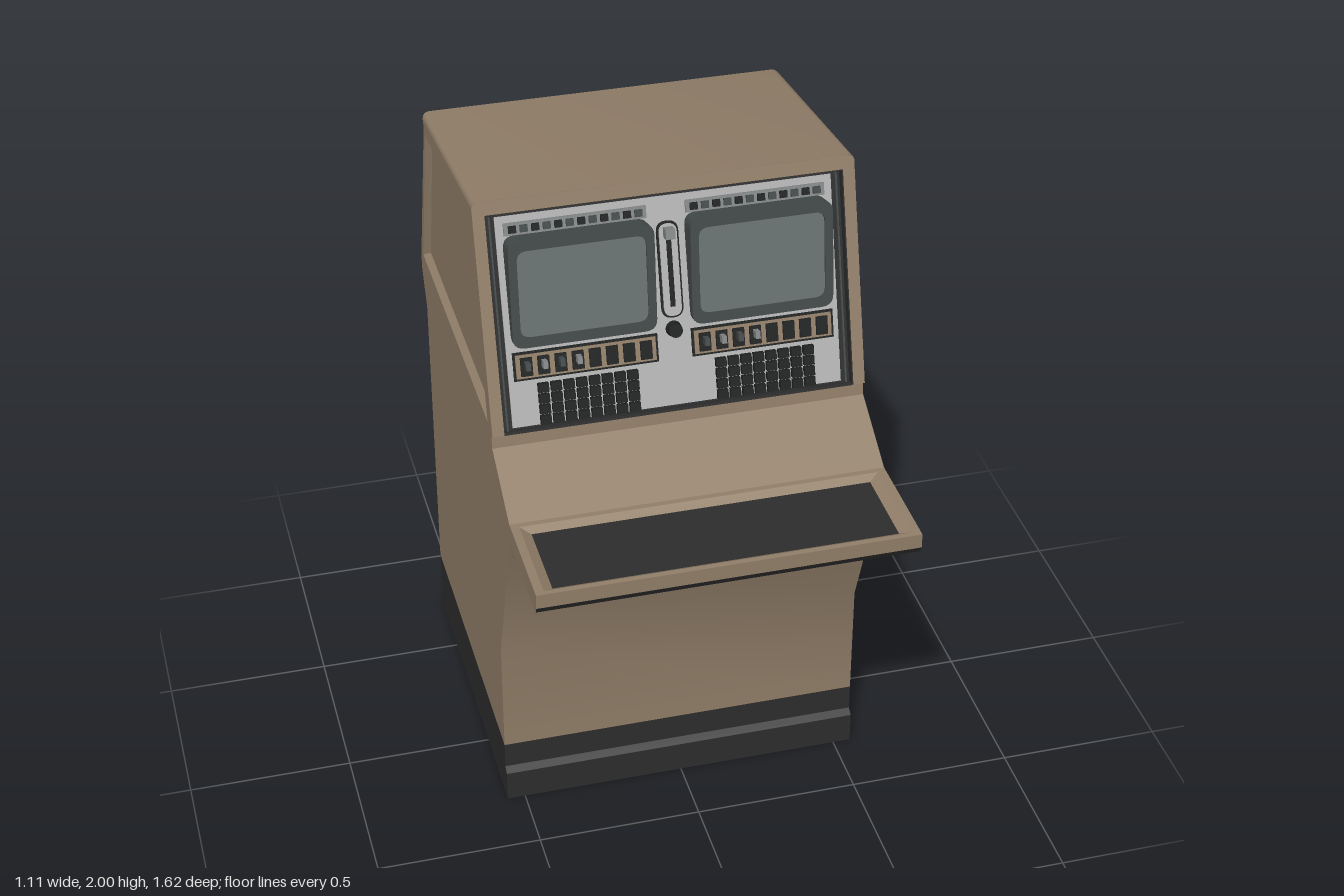
import * as THREE from 'three';
import { toCreasedNormals } from 'three/addons/utils/BufferGeometryUtils.js';

const mat = (name, color) => {
  const m = new THREE.MeshStandardMaterial({ color, side: THREE.DoubleSide });
  m.name = name;
  return m;
};

// Surface through rows of [x, y, z] points
function loft(rows, crease = 0.6) {
  const n = rows[0].length, idx = [];
  for (let i = 0; i < rows.length - 1; i++)
    for (let j = 0; j < n - 1; j++) {
      const a = i * n + j, b = a + n;
      idx.push(a, a + 1, b, b, a + 1, b + 1);
    }
  const g = new THREE.BufferGeometry();
  g.setAttribute('position', new THREE.Float32BufferAttribute(rows.flat(2), 3));
  g.setIndex(idx);
  return toCreasedNormals(g, crease);
}

const polygon = (pts, hole) => {
  const s = new THREE.Shape(pts.map(p => new THREE.Vector2(...p)));
  if (hole) s.holes.push(new THREE.Path(hole.map(p => new THREE.Vector2(...p))));
  return s;
};

const rect = (w, z0, z1) => [[-w, z0], [w, z0], [w, z1], [-w, z1]];

function roundRect(w, h, r, s = new THREE.Shape()) {
  const x = w / 2, y = h / 2;
  s.moveTo(-x + r, -y);
  s.lineTo(x - r, -y).quadraticCurveTo(x, -y, x, -y + r);
  s.lineTo(x, y - r).quadraticCurveTo(x, y, x - r, y);
  s.lineTo(-x + r, y).quadraticCurveTo(-x, y, -x, y - r);
  s.lineTo(-x, -y + r).quadraticCurveTo(-x, -y, -x + r, -y);
  return s;
}

export function createModel() {
  const tan = mat('tan paint', 0x927f69), black = mat('black trim', 0x2d2d2d),
    silver = mat('silver panel', 0xb4b4b4), bezel = mat('bezel grey', 0x454c4b),
    glass = mat('screen glass', 0x6a7472), key = mat('key black', 0x202222),
    steel = mat('mid grey', 0x858888);
  const model = new THREE.Group();
  const W = 0.555;
  const add = (parent, name, geo, material, x = 0, y = 0, z = 0) => {
    const m = new THREE.Mesh(geo, material);
    m.name = name;
    m.position.set(x, y, z);
    parent.add(m);
    return m;
  };

  // Skin across the width; points are [z, y] plus an optional inset [z, y] for a rounded side edge
  const skin = pts => loft(pts.map(([z, y, qz = z, qy = y]) => {
    const r = Math.hypot(z - qz, y - qy), half = [];
    for (let k = 0; k <= 3; k++) {
      const a = k / 3 * Math.PI / 2, s = Math.sin(a);
      half.push([W - r + r * Math.cos(a), qy + (y - qy) * s, qz + (z - qz) * s]);
    }
    return [...half.map(([x, b, c]) => [-x, b, c]), ...half.reverse()];
  }));
  const sides = (name, pts, material, hole) => {
    for (const s of [-1, 1]) {
      const g = new THREE.ShapeGeometry(polygon(pts, hole)).rotateY(-Math.PI / 2);
      add(model, name, g, material, s * W);
    }
  };

  // Plinth, open underneath
  const plinth = [[0.29, 0], [0.29, 0.1], [0.27, 0.115], [0.27, 0.2]];
  const plinthBack = [[-0.74, 0.2], [-0.74, 0]];
  add(model, 'plinthFront', skin(plinth), black);
  add(model, 'plinthBack', skin(plinthBack), black);
  sides('plinthSide', [...plinth, ...plinthBack], black);

  // Cabinet skin
  const front = [[0.27, 0.2], [0.27, 0.57], [0.47, 1.11]];
  const under = [[0.47, 1.11], [0.8, 1.11], [0.81, 1.13]];
  const lip = [[0.81, 1.13], [0.81, 1.175]];
  const apron = [[0.47, 1.175], [0.26, 1.295], [0.255, 1.33]];
  const back = [[0.085, 2, 0.089, 1.985], [-0.655, 1.905, -0.64, 1.89], [-0.645, 1.87, -0.63, 1.866],
    [-0.81, 1.33, -0.797, 1.33], [-0.81, 1.29, -0.797, 1.288], [-0.74, 1.17], [-0.74, 0.2]];
  add(model, 'lowerFront', skin(front), tan);
  add(model, 'shelfUnderside', skin(under), black);
  add(model, 'shelfLip', skin(lip), tan);
  add(model, 'apron', skin(apron), tan);
  add(model, 'roofAndBack', skin(back), tan);

  // Cabinet sides with sunken panels
  const outer = [[0.205, 1.352], [0.04, 1.93], [-0.615, 1.845], [-0.76, 1.352]];
  const inner = [[0.18, 1.37], [0.03, 1.915], [-0.605, 1.838], [-0.735, 1.37]];
  sides('cabinetSide', [...front, ...under.slice(1), lip[1], ...apron, [0.27, 1.34],
    ...back.map(([z, y, qz = z, qy = y]) => [qz, qy])], tan, outer);
  for (const s of [-1, 1]) {
    const ring = (pts, x) => [...pts, pts[0]].map(([z, y]) => [s * x, y, z]);
    add(model, 'sidePanelRim', loft([ring(outer, W), ring(inner, W - 0.02)], 0.2), tan);
    add(model, 'sidePanel', new THREE.ShapeGeometry(polygon(inner)).rotateY(-Math.PI / 2), tan, s * (W - 0.02));
  }

  // Shelf top with a sunken work pad
  const lipHole = rect(0.53, 0.488, 0.793), padEdge = rect(0.5, 0.51, 0.77);
  const flip = pts => pts.map(([x, z]) => [x, -z]);
  const flat = (pts, hole) => new THREE.ShapeGeometry(polygon(flip(pts), hole && flip(hole))).rotateX(-Math.PI / 2);
  add(model, 'shelfTop', flat(rect(W, 0.47, 0.81), lipHole), tan, 0, 1.175);
  const padRing = (pts, y) => [...pts, pts[0]].map(([x, z]) => [x, y, z]);
  add(model, 'padBevel', loft([padRing(lipHole, 1.175), padRing(padEdge, 1.16)], 0.2), tan);
  add(model, 'workPad', flat(padEdge), black, 0, 1.16);

  // Tilted console; its origin is the foot of the instrument panel
  const tilt = Math.atan2(0.185, 0.66);
  const face = new THREE.Group();
  face.name = 'console';
  face.position.set(0, 1.332, 0.241);
  face.rotation.x = -tilt;
  model.add(face);
  const V = y => (y - 1.332) / Math.cos(tilt);
  const box = (name, m, w, h, d, x, v, z = d / 2, parent = face) =>
    add(parent, name, new THREE.BoxGeometry(w, h, d), m, x, v, z);

  // Frame around the opening
  const halfFrame = [[0.52, 0], [W, 0], [W, 0.67], [W - 0.0045, 0.6805], [W - 0.015, 0.685]];
  const frame = [...halfFrame, ...halfFrame.map(([x, v]) => [-x, v]).reverse(), [-0.52, 0.645], [0.52, 0.645]];
  add(face, 'consoleFrame', new THREE.ShapeGeometry(polygon(frame)), tan, 0, 0, 0.03);
  for (const s of [-1, 1]) {
    box('recessSide', black, 0.006, 0.645, 0.029, s * 0.52, 0.3225);
    box('recessTrim', bezel, 0.005, 0.63, 0.008, s * 0.505, 0.317);
  }
  box('recessTop', black, 1.04, 0.006, 0.029, 0, 0.645);
  box('recessFloor', black, 1.04, 0.008, 0.02, 0, 0);
  box('backPlate', black, 1.04, 0.645, 0.006, 0, 0.3225, -0.003);
  box('instrumentPanel', silver, 0.98, 0.62, 0.005, 0, 0.32);

  // Wedge: unit-deep geometry whose depth grows towards the top
  const H = 0.325;
  const wedge = (geo, scale) => {
    const p = geo.attributes.position;
    for (let i = 0; i < p.count; i++)
      p.setZ(i, p.getZ(i) * scale * (0.028 + 0.05 * (p.getY(i) / H + 0.5)));
    geo.computeVertexNormals();
    return geo;
  };
  const slab = (shape, depth = 1) =>
    new THREE.ExtrudeGeometry(shape, { depth, bevelEnabled: false, curveSegments: 5 });

  for (const cx of [-0.262, 0.262]) {
    // Monitor
    const monitor = new THREE.Group();
    monitor.name = 'monitor';
    monitor.position.set(cx, V(1.727), 0);
    face.add(monitor);
    const hood = roundRect(0.42, H, 0.035);
    hood.holes.push(roundRect(0.372, 0.262, 0.03, new THREE.Path()));
    add(monitor, 'monitorHood', wedge(slab(hood), 1), bezel);
    add(monitor, 'monitorScreen', wedge(slab(roundRect(0.376, 0.266, 0.03)), 0.88), glass);

    // Indicator strip above
    box('indicatorStrip', steel, 0.41, 0.036, 0.012, cx, V(1.902));
    for (let i = 0; i < 12; i++)
      box('indicator', i % 2 ? bezel : key, 0.022, 0.02, 0.02, cx + (i - 5.5) * 0.033, V(1.902));

    // Switch strip below: toggles, then push keys
    box('switchBorder', key, 0.424, 0.084, 0.01, cx, V(1.515));
    box('switchPlate', tan, 0.41, 0.07, 0.014, cx, V(1.515));
    for (let i = 0; i < 8; i++) {
      const x = cx + (i - 3.5) * 0.05;
      box('switchKey', key, 0.034, 0.054, 0.022, x, V(1.515));
      if (i < 4) box('toggle', i % 2 ? steel : bezel, 0.014, 0.022, 0.05, x, V(1.522));
    }

    // Keypad
    for (let r = 0; r < 4; r++)
      for (let c = 0; c < 8; c++)
        box('keypadKey', key, 0.031, 0.026, 0.022, cx + (c - 3.5) * 0.0375, V(1.356 + r * 0.031));
  }

  // Central slider and knob
  add(face, 'sliderBorder', slab(roundRect(0.064, 0.284, 0.03), 0.012), key, 0, V(1.732));
  add(face, 'sliderPlate', slab(roundRect(0.052, 0.272, 0.025), 0.018), silver, 0, V(1.732));
  box('sliderSlot', key, 0.014, 0.22, 0.022, 0, V(1.735));
  box('sliderGrip', steel, 0.028, 0.03, 0.05, 0, V(1.84));
  add(face, 'knob', new THREE.CylinderGeometry(0.02, 0.024, 0.035, 20).rotateX(Math.PI / 2), key, 0, V(1.562), 0.018);

  return model;
}
